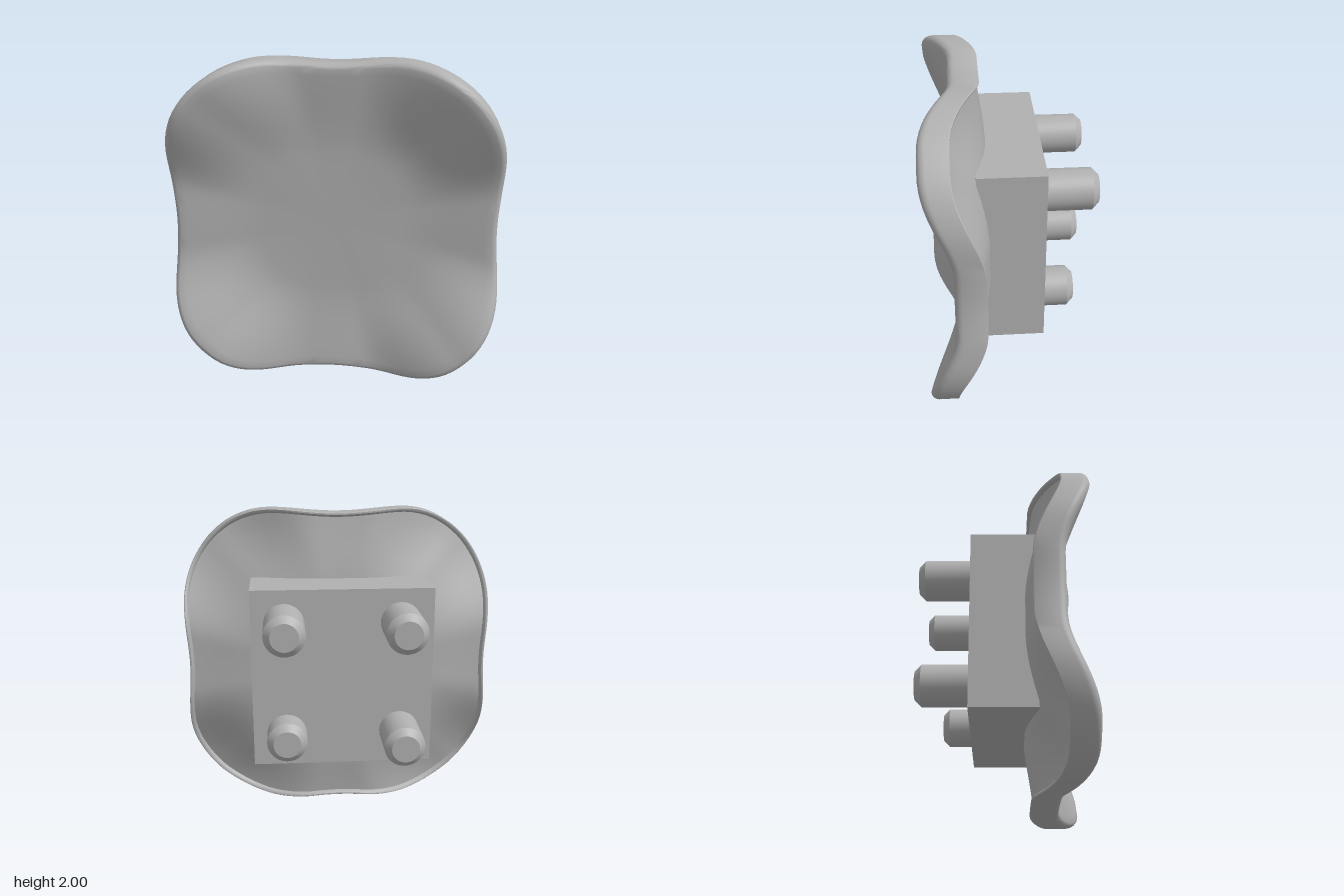
import * as THREE from 'three';
import { toCreasedNormals } from 'three/addons/utils/BufferGeometryUtils.js';

const grey = new THREE.MeshStandardMaterial({ color: 0xb0b0b0 });
grey.name = 'plain grey';
const smooth = THREE.MathUtils.smoothstep;

// One quarter of the rounded, slightly waisted square, turned four times
function outline() {
  const quarter = [];
  for (let i = 0; i < 16; i++) {
    const t = -0.4 + 0.8 * i / 16;
    quarter.push([1 - 0.011 * (1 + Math.cos(Math.PI * t / 0.4)), t]);
  }
  for (let i = 0; i < 20; i++) {
    const a = Math.PI / 2 * i / 20;
    quarter.push([0.4 + 0.6 * Math.cos(a), 0.4 + 0.6 * Math.sin(a)]);
  }
  const points = [];
  for (let q = 0; q < 4; q++) {
    for (const [x, y] of quarter) {
      points.push([[x, y], [-y, x], [-x, -y], [y, -x]][q]);
    }
  }
  return points;
}

// Dished pad: rings run from the back centre, round the rim, to the front centre
function padGeometry() {
  const edge = outline();
  const n = edge.length;
  const steps = 24;
  const dish = s => 0.5 * s ** 3 + 0.5 * smooth(s, 0.45, 1);
  const rings = []; // [scale, z as a function of back and front edge heights]
  for (let i = 0; i <= steps; i++) {
    const s = i / steps;
    rings.push([s * 0.972, b => 0.12 + (b + 0.025 - 0.12) * dish(s)]);
  }
  rings.push([0.979, b => b + 0.006], [0.987, b => b], [0.996, b => b], [1, b => b + 0.006]);
  const wallEnd = 0.045;
  for (let i = 0; i <= 6; i++) {
    const a = Math.PI / 2 * i / 6;
    rings.push([1 - 0.035 * (1 - Math.cos(a)), (b, f) => f - wallEnd * (1 - Math.sin(a))]);
  }
  for (let i = steps - 1; i >= 0; i--) {
    const s = i / steps;
    rings.push([s * 0.965, (b, f) => 0.29 + (f - 0.29) * dish(s)]);
  }

  const positions = [];
  for (const [s, z] of rings) {
    for (const [x, y] of edge) {
      const m = Math.min(Math.abs(x), Math.abs(y));
      const back = 0.165 + 0.175 * smooth(m, 0.18, 0.78);
      const front = 0.345 + 0.165 * smooth(m, 0.2, 0.78);
      positions.push(s * x, s * y, z(back, front));
    }
  }
  const index = [];
  for (let i = 0; i < rings.length - 1; i++) {
    for (let j = 0; j < n; j++) {
      const k = (j + 1) % n;
      const a = i * n + j, b = i * n + k, c = b + n, d = a + n;
      if (i > 0) index.push(a, b, c);
      if (i < rings.length - 2) index.push(a, c, d);
      else index.splice(-3, 3, a, b, d);
    }
  }
  const geometry = new THREE.BufferGeometry();
  geometry.setAttribute('position', new THREE.Float32BufferAttribute(positions, 3));
  geometry.setIndex(index);
  return toCreasedNormals(geometry, 0.6);
}

// Chamfered round peg reaching backwards to the given depth
function pegGeometry(depth) {
  const profile = [[0.125, 0], [0.125, depth - 0.04], [0.085, depth], [0, depth]]
    .map(p => new THREE.Vector2(...p));
  const geometry = new THREE.LatheGeometry(profile, 40);
  geometry.rotateX(-Math.PI / 2);
  return toCreasedNormals(geometry, 0.5);
}

export function createModel() {
  const group = new THREE.Group();
  const add = (name, geometry, x, y, z) => {
    const mesh = new THREE.Mesh(geometry, grey);
    mesh.name = name;
    mesh.position.set(x, y, z);
    group.add(mesh);
  };

  add('pad', padGeometry(), 0, 1, 0);

  // Mounting block, sunk into the back of the pad
  add('mountingBlock', new THREE.BoxGeometry(1.125, 1.13, 0.4), 0, 1.004, 0.005);

  // Four pegs; the lower left one is shorter
  add('upperLeftPeg', pegGeometry(0.33), 0.358, 1.36, -0.183);
  add('upperRightPeg', pegGeometry(0.33), -0.358, 1.36, -0.183);
  add('lowerRightPeg', pegGeometry(0.33), -0.358, 0.652, -0.183);
  add('lowerLeftPeg', pegGeometry(0.205), 0.352, 0.648, -0.183);

  return group;
}
